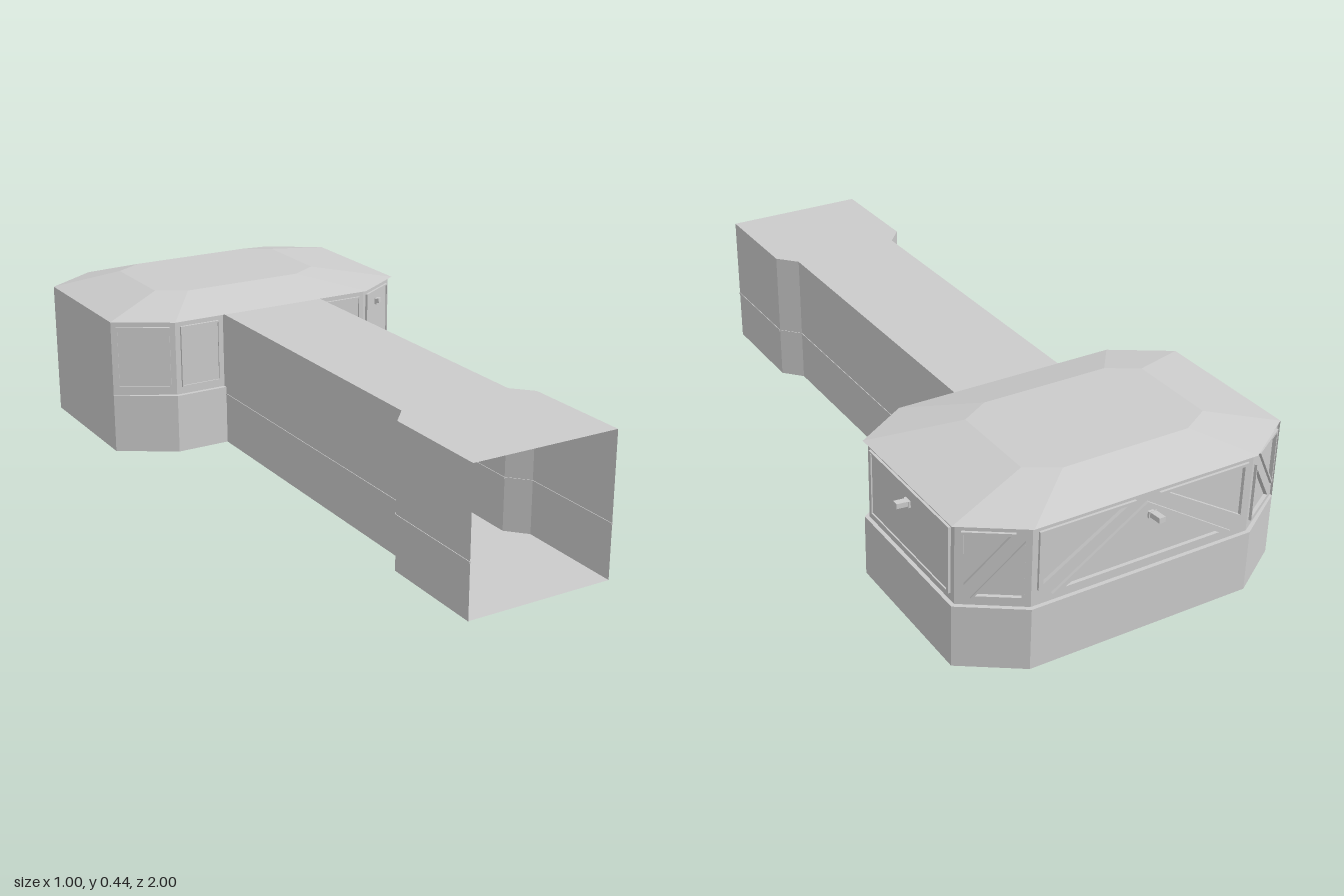
import * as THREE from 'three';

const mat = new THREE.MeshStandardMaterial({ color: 0xcccccc, flatShading: true, side: THREE.DoubleSide });
const SILL = 0.175, EAVE = 0.4;

function add(parent, name, geo, x = 0, y = 0, z = 0) {
  const m = new THREE.Mesh(geo, mat);
  m.name = name;
  m.position.set(x, y, z);
  parent.add(m);
  return m;
}
const box = (parent, name, w, h, d, x, y, z) => add(parent, name, new THREE.BoxGeometry(w, h, d), x, y, z);
const toShape = pts => new THREE.Shape(pts.map(p => new THREE.Vector2(p[0], p[1])));

// Flat horizontal sheet from [x, z] points
function sheet(parent, name, pts, y) {
  const geo = new THREE.ShapeGeometry(toShape(pts.map(([x, z]) => [x, -z])));
  geo.rotateX(-Math.PI / 2);
  return add(parent, name, geo, 0, y, 0);
}

// Wall frame: local x runs from p0 to p1, local z points outward
function wallGroup(parent, name, [x0, z0], [x1, z1]) {
  const g = new THREE.Group();
  g.name = name;
  g.position.set((x0 + x1) / 2, 0, (z0 + z1) / 2);
  g.rotation.y = Math.atan2(-(z1 - z0), x1 - x0);
  parent.add(g);
  g.userData.width = Math.hypot(x1 - x0, z1 - z0);
  return g;
}
function plainWall(parent, name, p0, p1, y0, y1) {
  const g = wallGroup(parent, name, p0, p1);
  add(g, 'panel', new THREE.PlaneGeometry(g.userData.width, y1 - y0), 0, (y0 + y1) / 2, 0);
  return g;
}

// Shrink a polygon about its centroid
function shrink(pts, f) {
  const cx = pts.reduce((s, p) => s + p[0], 0) / pts.length;
  const cy = pts.reduce((s, p) => s + p[1], 0) / pts.length;
  return pts.map(([x, y]) => [cx + (x - cx) * f, cy + (y - cy) * f]);
}

// Upper wall pierced by framed windows
function windowWall(parent, name, p0, p1, layout) {
  const g = wallGroup(parent, name, p0, p1), w = g.userData.width / 2;
  const L = -w + 0.016, R = w - 0.016, B = 0.197, T = 0.383, gap = 0.022;
  const windows = {
    rect: [[[L, B], [R, B], [R, T], [L, T]]],
    up: [[[L, B + gap], [R - gap, T], [L, T]], [[L + gap, B], [R, B], [R, T - gap]]],
    down: [[[L, B], [R - gap, B], [L, T - gap]], [[L + gap, T], [R, B + gap], [R, T]]],
    truss: [
      [[L, B + gap], [-0.035, T], [L, T]],
      [[L + 0.04, B], [R - 0.04, B], [0, T - 0.015]],
      [[R, B + gap], [R, T], [0.035, T]],
    ],
  }[layout];
  const wall = toShape([[-w, SILL], [w, SILL], [w, EAVE], [-w, EAVE]]);
  for (const pts of windows) {
    const inner = shrink(pts, pts.length === 3 ? 0.86 : 0.95);
    const hole = toShape(inner);
    wall.holes.push(hole);
    const frame = toShape(pts);
    frame.holes.push(hole);
    add(g, 'windowFrame', new THREE.ExtrudeGeometry(frame, { depth: 0.007, bevelEnabled: false }));
    add(g, 'windowPane', new THREE.ShapeGeometry(toShape(inner)), 0, 0, layout === 'rect' ? 0.003 : -0.003);
  }
  add(g, 'wallPanel', new THREE.ExtrudeGeometry(wall, { depth: 0.008, bevelEnabled: false }), 0, 0, -0.008);
  return g;
}

// Small peg sticking out of a window
function peg(wall, x, y, length) {
  box(wall, 'pegBase', 0.024, 0.018, 0.006, x, y, 0.006);
  box(wall, 'peg', 0.018, 0.014, length, x, y + 0.002, length / 2).rotation.x = -0.08;
}

export function createModel() {
  const root = new THREE.Group();
  root.name = 'roomWithCorridor';

  // Room plan, starting and ending at the corridor opening
  const base = [[0.145, -0.32], [0.31, -0.32], [0.467, -0.42], [0.467, -0.86], [0.31, -0.965],
    [-0.34, -0.965], [-0.5, -0.86], [-0.5, -0.42], [-0.34, -0.32], [-0.18, -0.32]];
  const upper = [[0.145, -0.332], [0.306, -0.332], [0.456, -0.426], [0.456, -0.854], [0.306, -0.954],
    [-0.336, -0.954], [-0.498, -0.854], [-0.498, -0.426], [-0.336, -0.332], [-0.18, -0.332]];
  const room = new THREE.Group();
  room.name = 'room';
  root.add(room);
  const layouts = ['rect', 'rect', 'rect', 'up', 'truss', 'down', null, 'rect', 'rect'];
  const walls = layouts.map((layout, i) => {
    if (!layout) return plainWall(room, 'blankWall', base[i], base[i + 1], 0, EAVE);
    plainWall(room, 'lowerWall', base[i], base[i + 1], 0, SILL);
    return windowWall(room, 'windowWall', upper[i], upper[i + 1], layout);
  });
  sheet(room, 'floor', base, 0);
  const ring = [...base, ...[...upper].reverse()];
  sheet(room, 'sill', ring, SILL);
  sheet(room, 'soffit', ring, EAVE);
  peg(walls[1], 0, 0.345, 0.016);
  peg(walls[2], 0, 0.34, 0.04);
  peg(walls[4], 0.015, 0.33, 0.046);

  // Hipped roof between two octagons
  const eave = base.slice(1, 9);
  const crown = [[0.145, -0.47], [0.23, -0.52], [0.23, -0.78], [0.145, -0.83],
    [-0.225, -0.83], [-0.31, -0.78], [-0.31, -0.52], [-0.225, -0.47]];
  const pos = [];
  eave.forEach((a, i) => {
    const j = (i + 1) % 8, b = eave[j], c = crown[j], d = crown[i];
    const A = [a[0], EAVE, a[1]], B = [b[0], EAVE, b[1]], C = [c[0], 0.443, c[1]], D = [d[0], 0.443, d[1]];
    pos.push(...A, ...B, ...C, ...A, ...C, ...D);
  });
  const hip = new THREE.BufferGeometry();
  hip.setAttribute('position', new THREE.Float32BufferAttribute(pos, 3));
  hip.computeVertexNormals();
  add(room, 'roofSlopes', hip);
  sheet(room, 'roofTop', crown, 0.443);

  // Corridor, flaring at its open end
  const corridor = new THREE.Group();
  corridor.name = 'corridor';
  root.add(corridor);
  const rightSide = [[0.195, 1], [0.195, 0.685], [0.145, 0.63], [0.145, -0.332]];
  const leftSide = [[-0.18, -0.332], [-0.18, 0.63], [-0.228, 0.685], [-0.228, 1]];
  for (const side of [rightSide, leftSide]) {
    for (let i = 0; i < 3; i++) {
      const g = plainWall(corridor, 'corridorWall', side[i], side[i + 1], 0, EAVE);
      box(g, 'wallSeam', g.userData.width, 0.005, 0.004, 0, 0.152, 0);
    }
  }
  const plan = [...rightSide, ...leftSide];
  sheet(corridor, 'corridorFloor', plan, 0.001);
  sheet(corridor, 'corridorRoof', plan, EAVE);

  // Screen and shelf inside the room
  const screen = new THREE.Group();
  screen.name = 'screen';
  root.add(screen);
  box(screen, 'screenPanel', 0.23, 0.135, 0.008, 0, 0.322, -0.9);
  for (const s of [-1, 1]) {
    box(screen, 'screenSideRail', 0.008, 0.148, 0.016, s * 0.12, 0.322, -0.9);
    box(screen, 'screenEdgeRail', 0.248, 0.008, 0.016, 0, 0.322 + s * 0.07, -0.9);
  }
  box(root, 'shelf', 0.62, 0.018, 0.06, -0.015, 0.163, -0.92);

  // Floor stand with a bent pipe beside the corridor wall
  const stand = new THREE.Group();
  stand.name = 'pipeStand';
  stand.position.set(-0.14, 0, -0.12);
  root.add(stand);
  box(stand, 'standBase', 0.064, 0.04, 0.06, 0, 0.021, 0);
  add(stand, 'standCone', new THREE.CylinderGeometry(0.008, 0.026, 0.035, 8), 0, 0.057, 0);
  box(stand, 'standPedal', 0.014, 0.006, 0.02, 0.038, 0.006, 0);
  const path = new THREE.CatmullRomCurve3([[-0.016, 0.04], [-0.016, 0.12], [-0.016, 0.185], [-0.022, 0.2], [-0.036, 0.203]]
    .map(([x, y]) => new THREE.Vector3(x, y, 0)));
  add(stand, 'pipe', new THREE.TubeGeometry(path, 20, 0.004, 6));
  box(stand, 'pipeBracket', 0.008, 0.03, 0.02, -0.034, 0.215, 0);

  return root;
}
